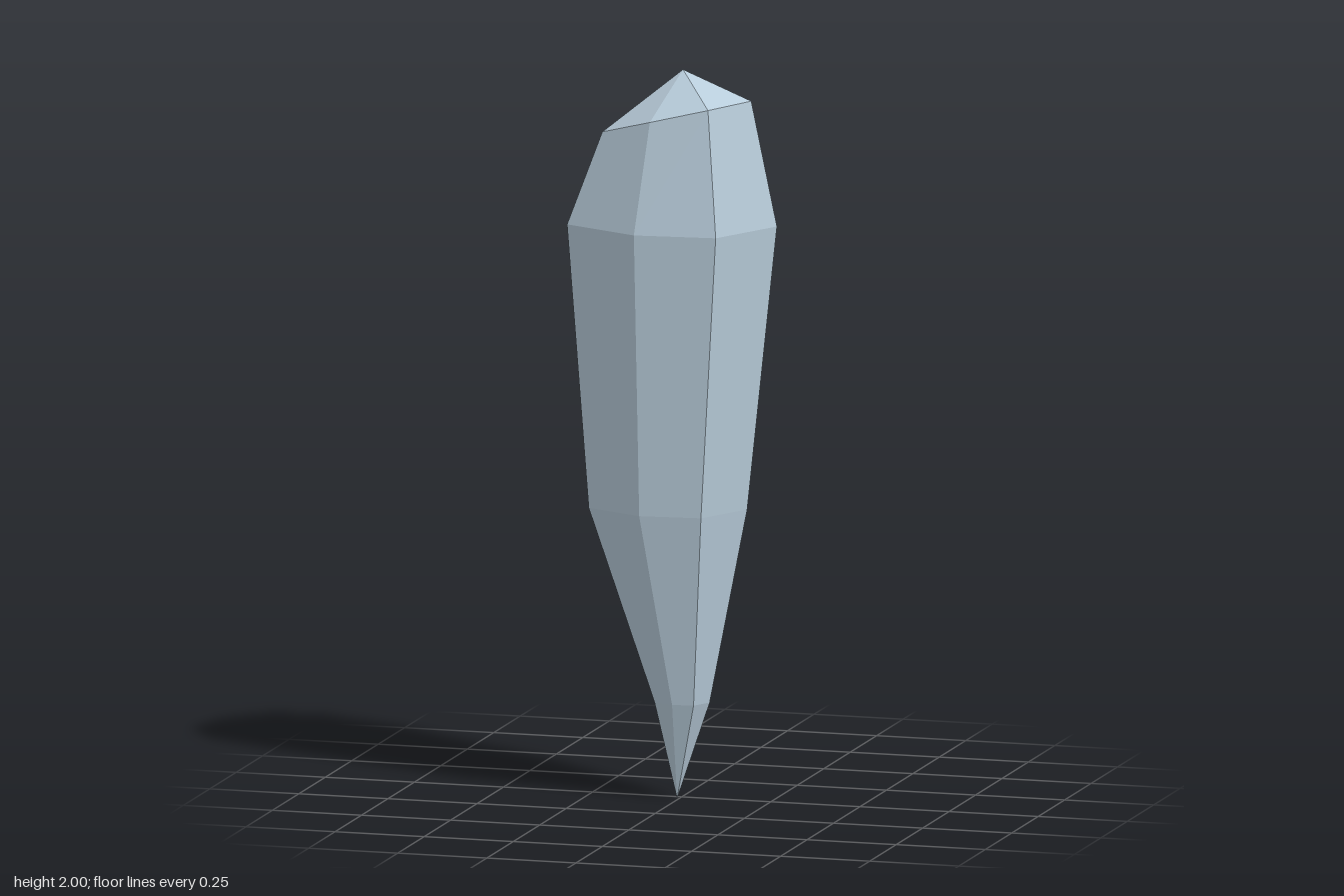
import * as THREE from 'three';

// Irregular seven-sided outline at the widest point, as [x, z]
const GIRDLE = [
  [-0.07, -0.26], [0.15, -0.17], [0.274, 0.023], [0.165, 0.235],
  [-0.058, 0.257], [-0.276, 0.154], [-0.236, -0.089],
];
// Narrower outline of the shoulder below the point
const SHOULDER = [
  [-0.035, -0.16], [0.12, -0.095], [0.207, 0.04], [0.13, 0.19],
  [-0.028, 0.207], [-0.183, 0.134], [-0.155, -0.038],
];

// Level copy of the girdle, scaled and shifted
const ring = (y, scale, dx, dz) => GIRDLE.map(([x, z]) => [x * scale + dx, y, z * scale + dz]);

// Flat-shaded surface through rings of corners, closed by a point at each end
function crystalGeometry(tip, rings, apex) {
  const positions = [];
  const tri = (...corners) => corners.forEach((c) => positions.push(...c));
  const n = GIRDLE.length;
  for (let i = 0; i < n; i++) {
    const j = (i + 1) % n;
    tri(tip, rings[0][i], rings[0][j]);
    for (let k = 0; k < rings.length - 1; k++) {
      const lo = rings[k], up = rings[k + 1];
      tri(lo[j], lo[i], up[i]);
      tri(lo[j], up[i], up[j]);
    }
    const top = rings[rings.length - 1];
    tri(top[j], top[i], apex);
  }
  const geometry = new THREE.BufferGeometry();
  geometry.setAttribute('position', new THREE.Float32BufferAttribute(positions, 3));
  geometry.computeVertexNormals();
  return geometry;
}

export function createModel() {
  const group = new THREE.Group();
  group.name = 'crystal';

  const paleBlue = new THREE.MeshStandardMaterial({ color: 0xb8ccda, flatShading: true });
  paleBlue.name = 'pale blue crystal';

  const rings = [
    ring(0.27, 0.263, 0.018, 0.033),
    ring(0.8, 0.755, -0.018, 0),
    ring(1.58, 1, 0, 0),
    // The shoulder lies on a tilted plane
    SHOULDER.map(([x, z]) => [x, 1.866 + 0.252 * x + 0.11 * z, z]),
  ];
  const shard = new THREE.Mesh(
    crystalGeometry([-0.005, 0, 0.027], rings, [0.017, 2, 0.045]), paleBlue);
  shard.name = 'crystalShard';
  group.add(shard);
  return group;
}
